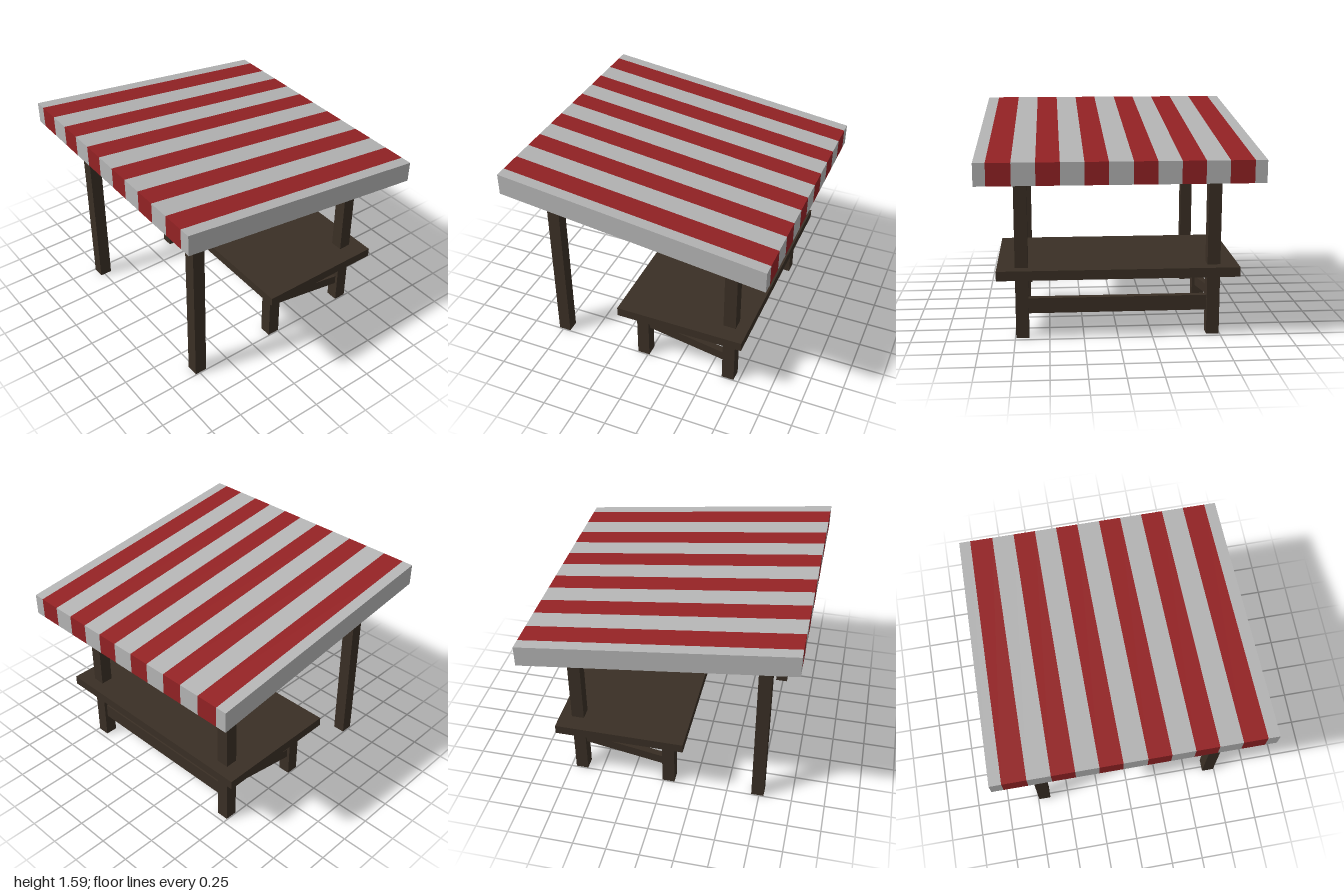
import * as THREE from 'three';
import { mergeGeometries } from 'three/addons/utils/BufferGeometryUtils.js';

export function createModel() {
  const model = new THREE.Group();
  model.name = 'marketStall';

  const wood = new THREE.MeshStandardMaterial({ color: 0x3a2f25 });
  wood.name = 'darkWood';
  const white = new THREE.MeshStandardMaterial({ color: 0xb4b4b4, side: THREE.DoubleSide });
  white.name = 'canvasWhite';
  const red = new THREE.MeshStandardMaterial({ color: 0x932224, side: THREE.DoubleSide });
  red.name = 'canvasRed';

  // Wooden box given by its extents along each axis
  function timber(name, [x0, x1], [y0, y1], [z0, z1]) {
    const mesh = new THREE.Mesh(new THREE.BoxGeometry(x1 - x0, y1 - y0, z1 - z0), wood);
    mesh.position.set((x0 + x1) / 2, (y0 + y1) / 2, (z0 + z1) / 2);
    mesh.name = name;
    model.add(mesh);
    return mesh;
  }

  // Sloping canopy: high at -x, low at +x
  const halfX = 0.99, highY = 1.59, lowY = 1.34, drop = 0.16;
  const roofY = (x) => THREE.MathUtils.lerp(highY, lowY, (x + halfX) / (2 * halfX));
  const slope = Math.atan2(lowY - highY, 2 * halfX);

  // Flat four-cornered sheet, corners counter-clockwise from outside
  function sheet(a, b, c, d) {
    const g = new THREE.BufferGeometry();
    g.setAttribute('position', new THREE.Float32BufferAttribute([a, b, c, a, c, d].flat(), 3));
    g.computeVertexNormals();
    return g;
  }

  // Striped top with matching end valances
  const half = [0.085, 0.25, 0.415, 0.58, 0.745, 0.915, 1];
  const edges = [...half.map((z) => -z).reverse(), ...half];
  const cloth = [[], []];
  for (let i = 0; i < edges.length - 1; i++) {
    const z0 = edges[i], z1 = edges[i + 1];
    cloth[i % 2].push(
      sheet([-halfX, highY, z0], [-halfX, highY, z1], [halfX, lowY, z1], [halfX, lowY, z0]),
      sheet([halfX, lowY, z0], [halfX, lowY, z1], [halfX, lowY - drop, z1], [halfX, lowY - drop, z0]),
      sheet([-halfX, highY, z1], [-halfX, highY, z0], [-halfX, highY - drop, z0], [-halfX, highY - drop, z1])
    );
  }
  // Plain side valances
  cloth[0].push(
    sheet([-halfX, highY, 1], [-halfX, highY - drop, 1], [halfX, lowY - drop, 1], [halfX, lowY, 1]),
    sheet([halfX, lowY, -1], [halfX, lowY - drop, -1], [-halfX, highY - drop, -1], [-halfX, highY, -1])
  );
  [['canopyWhite', white], ['canopyRed', red]].forEach(([name, material], i) => {
    const mesh = new THREE.Mesh(mergeGeometries(cloth[i]), material);
    mesh.name = name;
    model.add(mesh);
  });

  // Posts, short table legs and braces on both sides
  for (const s of [1, -1]) {
    const z = [s * 0.697 - 0.047, s * 0.697 + 0.047];
    timber('tallPost', [-0.785, -0.69], [0, roofY(-0.74) - 0.1], z);
    timber('counterPost', [0.615, 0.71], [0, roofY(0.66) - 0.1], z);
    timber('shortLeg', [-0.085, 0.01], [0, 0.47], z);
    // The two braces lean opposite ways
    const brace = timber('brace', [-0.02, 0.645], [0.214, 0.286], [s * 0.697 - 0.025, s * 0.697 + 0.025]);
    brace.rotation.z = -s * 0.18;
  }

  // Beams carrying the canopy
  for (const x of [-0.738, 0.662]) {
    const y = roofY(x) - 0.088;
    const beam = timber('roofBeam', [x - 0.05, x + 0.05], [y - 0.06, y + 0.06], [-0.93, 0.93]);
    beam.rotation.z = slope;
  }

  // Counter top and the long rail below it
  timber('counterTop', [-0.18, 0.8], [0.46, 0.53], [-0.875, 0.875]);
  timber('longRail', [0.637, 0.688], [0.18, 0.293], [-0.66, 0.66]);

  return model;
}
